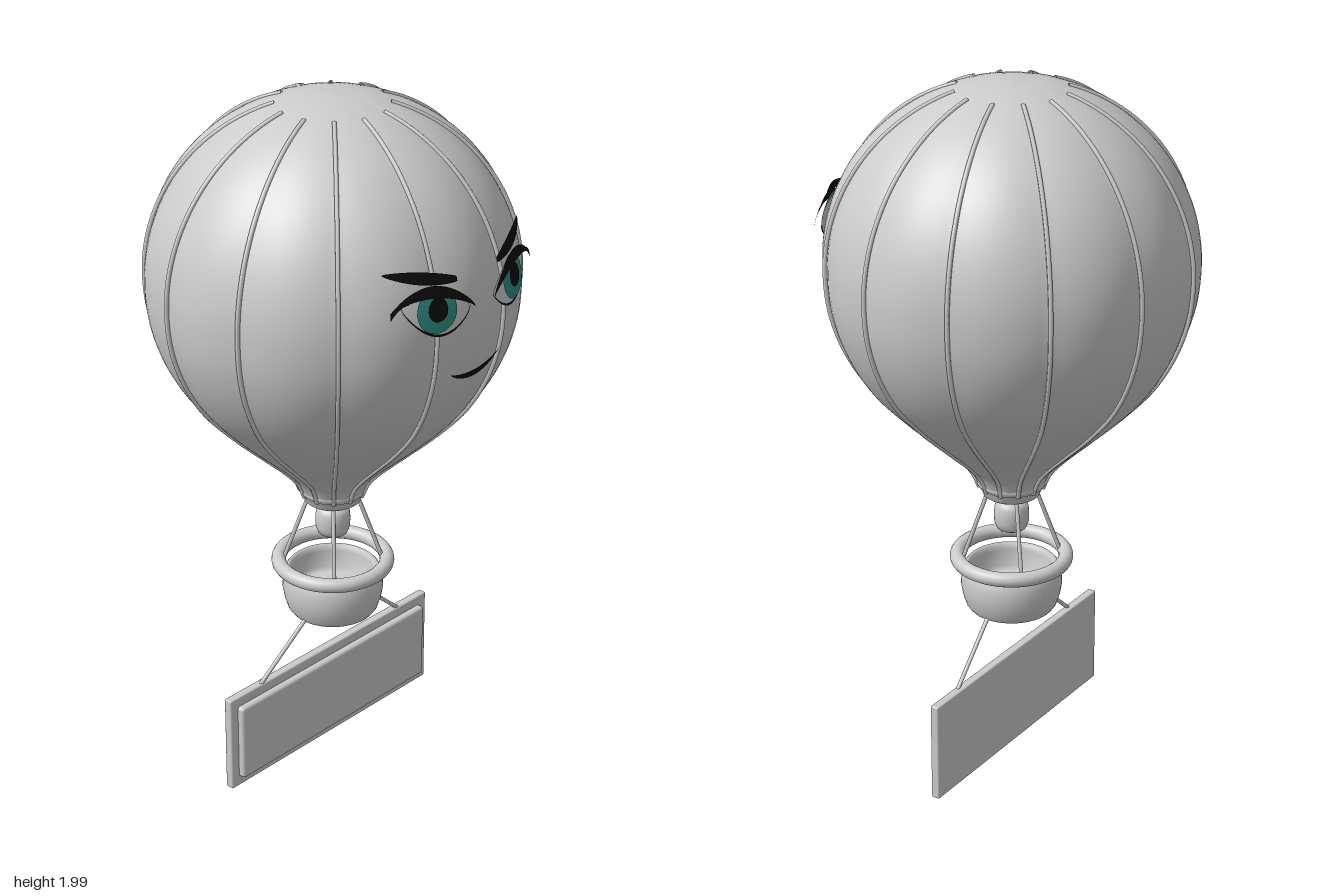
import * as THREE from 'three';
import { RoundedBoxGeometry } from 'three/addons/geometries/RoundedBoxGeometry.js';

const V2 = (x, y) => new THREE.Vector2(x, y);
const V3 = (x, y, z) => new THREE.Vector3(x, y, z);
const rad = THREE.MathUtils.degToRad;
const lerp = THREE.MathUtils.lerp;

const paint = (color) => new THREE.MeshStandardMaterial({ color, side: THREE.DoubleSide });
const grey = paint(0xcccccc);
const black = paint(0x0c0c0c);
const white = paint(0xf2f2f2);
const teal = paint(0x2f8a80);

const GORES = 12;
const RIB_START = rad(-5);
const FACE_YAW = rad(10.7);

function add(parent, name, geometry, material = grey) {
  const mesh = new THREE.Mesh(geometry, material);
  mesh.name = name;
  parent.add(mesh);
  return mesh;
}

function lathe(parent, name, pairs, segments = 48) {
  return add(parent, name, new THREE.LatheGeometry(pairs.map(([x, y]) => V2(x, y)), segments));
}

// Straight rope between two points
function rope(parent, name, a, b, radius) {
  const mesh = add(parent, name, new THREE.CylinderGeometry(radius, radius, a.distanceTo(b), 8));
  mesh.position.copy(a).lerp(b, 0.5);
  mesh.quaternion.setFromUnitVectors(V3(0, 1, 0), b.clone().sub(a).normalize());
  return mesh;
}

// Envelope outline, from the crown to the neck
function envelopeProfile() {
  const points = [];
  for (let i = 0; i <= 8; i++) {
    const a = (i / 8) * Math.PI / 2;
    points.push(V2(0.51 * Math.sin(a), 1.49 + 0.505 * Math.cos(a)));
  }
  points.push(V2(0.5, 1.38), V2(0.465, 1.27), V2(0.405, 1.165), V2(0.32, 1.07),
    V2(0.23, 0.985), V2(0.16, 0.92), V2(0.115, 0.87), V2(0.093, 0.82));
  const outline = new THREE.SplineCurve(points).getPoints(72);
  outline[0].x = 0;
  return outline;
}

function radiusAt(profile, y) {
  for (let i = 1; i < profile.length; i++) {
    const a = profile[i - 1], b = profile[i];
    if (y <= a.y && y >= b.y) return lerp(a.x, b.x, (a.y - y) / (a.y - b.y || 1));
  }
  return 0;
}

// Lathe whose gores swell gently between the ribs
function envelopeGeometry(profile) {
  const geometry = new THREE.LatheGeometry(profile, GORES * 10, RIB_START);
  const p = geometry.attributes.position;
  for (let i = 0; i < p.count; i++) {
    const phi = Math.atan2(p.getX(i), p.getZ(i)) - RIB_START;
    const k = 0.985 + 0.02 * Math.abs(Math.sin(phi * GORES / 2));
    p.setX(i, p.getX(i) * k);
    p.setZ(i, p.getZ(i) * k);
  }
  geometry.computeVertexNormals();
  return geometry;
}

function buildRibs(parent, profile) {
  const path = profile.filter((q) => q.x >= 0.14 || q.y < 1.2);
  for (let k = 0; k < GORES; k++) {
    const phi = RIB_START + k * Math.PI * 2 / GORES;
    const points = path.map((q) => V3(q.x * 0.995 * Math.sin(phi), q.y, q.x * 0.995 * Math.cos(phi)));
    add(parent, 'seamRib', new THREE.TubeGeometry(new THREE.CatmullRomCurve3(points), 64, 0.0065, 6));
  }
}

// Facial features: patches between two curves, wrapped around the envelope
function buildFace(parent, profile) {
  const face = new THREE.Group();
  face.name = 'face';
  face.rotation.y = FACE_YAW;
  parent.add(face);

  function patch(name, material, from, to, top, bottom, lift, side = 1) {
    const geometry = new THREE.PlaneGeometry(1, 1, 28, 4);
    const p = geometry.attributes.position;
    for (let i = 0; i < p.count; i++) {
      const t = p.getX(i) + 0.5;
      const y = lerp(bottom(t), top(t), p.getY(i) + 0.5);
      const a = rad(lerp(from, to, t)) * side;
      const r = radiusAt(profile, y) + lift;
      p.setXYZ(i, r * Math.sin(a), y, r * Math.cos(a));
    }
    geometry.computeVertexNormals();
    add(face, name, geometry, material);
  }

  const arch = (t) => Math.pow(Math.max(0, Math.sin(Math.PI * t)), 0.75);
  const disc = (t) => Math.sqrt(Math.max(0, 1 - (2 * t - 1) ** 2));
  const corner = (t) => lerp(1.565, 1.6, t);
  const lid = (t) => corner(t) + 0.045 * arch(t);
  const under = (t) => corner(t) - 0.07 * arch(t);

  for (const side of [-1, 1]) {
    patch('eyeWhite', white, 5, 28, lid, under, 0.016, side);
    patch('lowerLid', black, 5, 28, (t) => under(t) + 0.003, (t) => under(t) - 0.004 * arch(t), 0.018, side);
    patch('iris', teal, 10.2, 23.4, (t) => 1.578 + 0.058 * disc(t), (t) => 1.578 - 0.058 * disc(t), 0.021, side);
    patch('pupil', black, 13.6, 20, (t) => 1.582 + 0.033 * disc(t), (t) => 1.582 - 0.03 * disc(t), 0.025, side);
    patch('upperLash', black, 4.2, 30, (t) => lid(t) + 0.014 * arch(t) + 0.004,
      (t) => lid(t) - 0.013 * arch(t), 0.028, side);
    patch('outerLash', black, 26, 31.5, (t) => 1.622 + 0.004 * t - 0.03 * t * t,
      (t) => 1.612 - 0.035 * t * t, 0.03, side);
    patch('eyebrow', black, 9, 33, (t) => lerp(1.652, 1.688, t) + 0.012 * arch(t),
      (t) => lerp(1.64, 1.686, t) - 0.012 * arch(t), 0.022, side);
  }
  const smile = (t) => lerp(1.38, 1.395, t);
  patch('mouth', black, -11, 10.5, (t) => smile(t) - 0.018 * arch(t), (t) => smile(t) - 0.038 * arch(t), 0.012);
}

// Collar, burner, ropes, hoop and basket
function buildBasket(parent) {
  lathe(parent, 'neckCollar', [[0, 0.792], [0.074, 0.79], [0.081, 0.795], [0.088, 0.82], [0.097, 0.826],
    [0.101, 0.835], [0.098, 0.846], [0.09, 0.848], [0.075, 0.846]]);
  lathe(parent, 'burner', [[0, 0.677], [0.03, 0.679], [0.042, 0.686], [0.049, 0.705], [0.05, 0.73],
    [0.048, 0.752], [0.042, 0.765], [0.03, 0.77], [0, 0.771]], 32);
  for (let k = 0; k < 4; k++) {
    const a = rad(35 + 90 * k);
    rope(parent, 'basketRope', V3(0.065 * Math.cos(a), 0.81, 0.065 * Math.sin(a)),
      V3(0.142 * Math.cos(a), 0.595, 0.142 * Math.sin(a)), 0.006);
  }
  const hoop = add(parent, 'basketHoop', new THREE.TorusGeometry(0.155, 0.021, 16, 64));
  hoop.rotation.x = Math.PI / 2;
  hoop.position.y = 0.595;
  lathe(parent, 'basket', [[0, 0.434], [0.105, 0.434], [0.122, 0.438], [0.131, 0.45], [0.14, 0.48], [0.145, 0.51],
    [0.143, 0.54], [0.137, 0.562], [0.13, 0.57], [0.122, 0.566], [0.118, 0.55], [0.115, 0.5], [0.1, 0.49], [0, 0.488]]);
}

// Hanging signboard: frame with a raised panel
function buildSign(parent) {
  const sign = new THREE.Group();
  sign.name = 'sign';
  sign.position.set(-0.005, 0.151, -0.033);
  sign.rotation.y = rad(10);
  parent.add(sign);
  add(sign, 'signBoard', new RoundedBoxGeometry(0.826, 0.298, 0.026, 2, 0.005));
  add(sign, 'signPanel', new RoundedBoxGeometry(0.77, 0.238, 0.034, 3, 0.01)).position.z = 0.016;
  for (const s of [-1, 1]) {
    rope(parent, 'signRope', V3(0.115 * s, 0.45, -0.014 - 0.024 * s),
      V3(0.285 * s, 0.295, -0.03 - 0.05 * s), 0.006);
  }
}

export function createModel() {
  const model = new THREE.Group();
  model.name = 'hotAirBalloon';
  const balloon = new THREE.Group();
  balloon.name = 'balloon';
  balloon.position.z = -0.018;
  model.add(balloon);

  const profile = envelopeProfile();
  add(balloon, 'envelope', envelopeGeometry(profile));
  buildRibs(balloon, profile);
  buildFace(balloon, profile);
  buildBasket(balloon);
  buildSign(model);
  return model;
}
